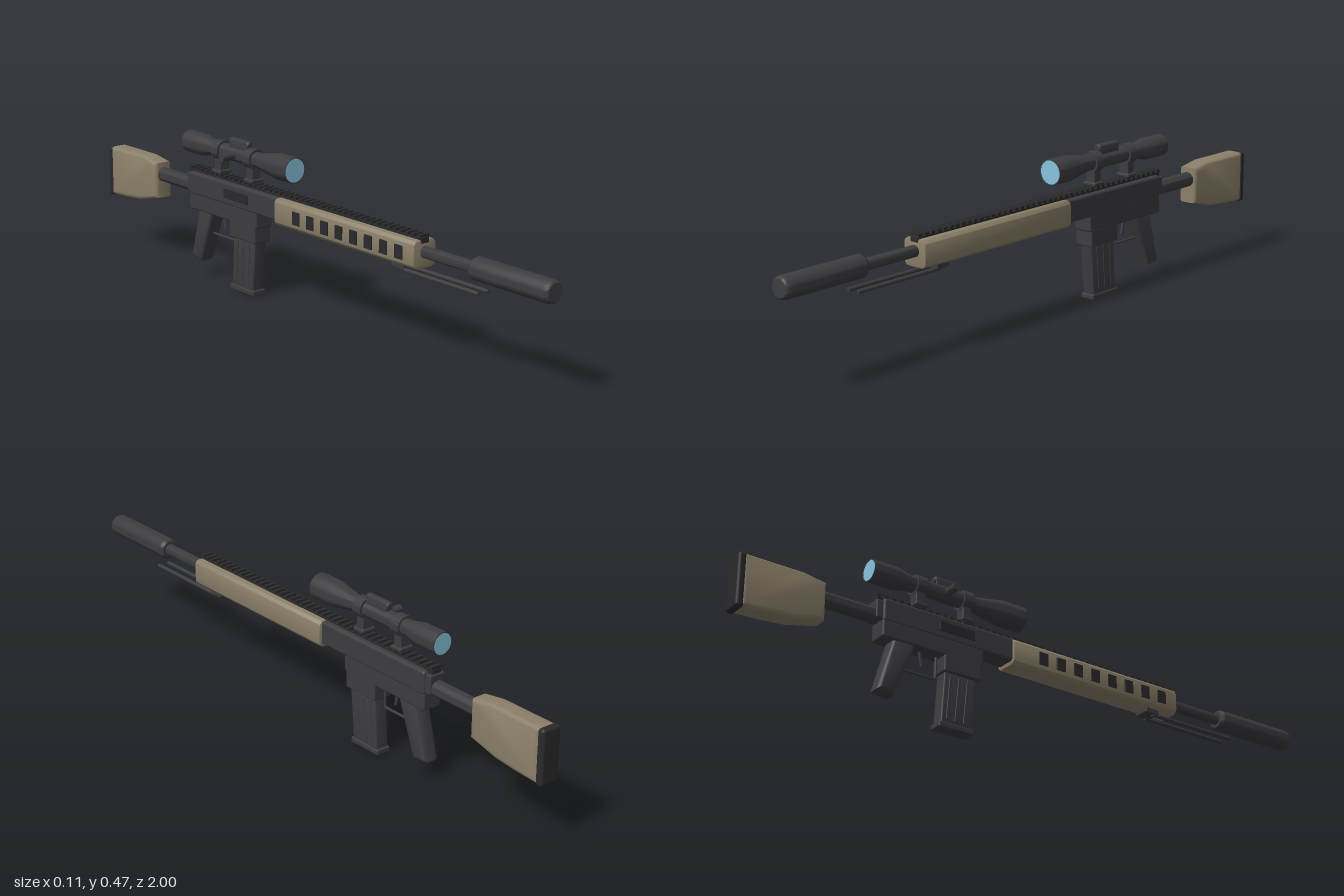
import * as THREE from 'three';
import { toCreasedNormals } from 'three/addons/utils/BufferGeometryUtils.js';
import { RoundedBoxGeometry } from 'three/addons/geometries/RoundedBoxGeometry.js';

const CX = 0.012; // centre line of the rifle
const mat = (color) => new THREE.MeshStandardMaterial({ color });
const DARK = mat(0x3d3d41), BLACK = mat(0x2a2a2c), TAN = mat(0x8b8069), GLASS = mat(0x87c3dd);

export function createModel() {
  const model = new THREE.Group();

  const add = (name, geo, material, x = CX, y = 0, z = 0) => {
    const m = new THREE.Mesh(geo, material);
    m.name = name;
    m.position.set(x, y, z);
    model.add(m);
    return m;
  };
  // Box given by width and its y and z limits
  const block = (name, w, y0, y1, z0, z1, r = 0.004, material = DARK, x = CX) =>
    add(name, new RoundedBoxGeometry(w, y1 - y0, z1 - z0, 2, r), material, x, (y0 + y1) / 2, (z0 + z1) / 2);
  // Turned part along z from [radius, z] pairs, listed back to front
  const turned = (name, y, pts, material = DARK, x = CX) => {
    const g = new THREE.LatheGeometry(pts.map(([r, z]) => new THREE.Vector2(r, z)), 32);
    g.rotateX(Math.PI / 2);
    return add(name, toCreasedNormals(g, 0.6), material, x, y);
  };
  const rod = (name, y, r, z0, z1, material = DARK, x = CX) =>
    turned(name, y, [[0, z0], [r, z0], [r, z1], [0, z1]], material, x);
  // Side profile of [z, y] points, given a bevelled thickness in x
  const plate = (name, pts, w, bevel, material) => {
    const s = new THREE.Shape(pts.map(([z, y]) => new THREE.Vector2(z, y)));
    const g = new THREE.ExtrudeGeometry(s, {
      depth: w - 2 * bevel, bevelThickness: bevel, bevelSize: bevel, bevelOffset: -bevel, bevelSegments: 4,
    });
    g.translate(0, 0, bevel - w / 2).rotateY(-Math.PI / 2);
    return add(name, toCreasedNormals(g, 0.6), material);
  };

  // Muzzle and barrel
  turned('suppressor', 0.302, [[0, 0.705], [0.026, 0.705], [0.033, 0.715], [0.033, 0.985],
    [0.031, 0.995], [0.026, 1], [0, 1]]);
  rod('barrel', 0.302, 0.017, 0.45, 0.72);

  // Handguard: rounded square bar with dark vents on one side
  const w = 0.041, r = 0.018, square = new THREE.Shape();
  square.absarc(w - r, w - r, r, 0, Math.PI / 2);
  square.absarc(r - w, w - r, r, Math.PI / 2, Math.PI);
  square.absarc(r - w, r - w, r, Math.PI, Math.PI * 1.5);
  square.absarc(w - r, r - w, r, Math.PI * 1.5, Math.PI * 2);
  const guard = new THREE.ExtrudeGeometry(square, {
    depth: 0.607, bevelThickness: 0.004, bevelSize: 0.004, bevelOffset: -0.004, bevelSegments: 2, curveSegments: 8,
  });
  add('handguard', toCreasedNormals(guard, 0.6), TAN, CX, 0.296, -0.101);
  for (let i = 0; i < 8; i++)
    block('handguardVent', 0.012, 0.276, 0.316, -0.015 + i * 0.064, 0.017 + i * 0.064, 0.001, BLACK, -0.026);

  // Toothed top rail
  block('topRail', 0.032, 0.325, 0.343, -0.56, 0.51, 0.002, BLACK);
  for (let z = -0.552; z < 0.51; z += 0.0245)
    add('railTooth', new THREE.BoxGeometry(0.034, 0.01, 0.013), BLACK, CX, 0.346, z);

  // Folded bipod
  for (const s of [-1, 1]) rod('bipodLeg', 0.24, 0.006, 0.43, 0.742, DARK, CX + s * 0.018);
  block('bipodMount', 0.052, 0.24, 0.262, 0.4, 0.45);

  // Receiver
  block('upperReceiver', 0.066, 0.266, 0.337, -0.545, -0.1, 0.008);
  block('receiverEnd', 0.052, 0.272, 0.33, -0.565, -0.535);
  block('lowerReceiver', 0.062, 0.218, 0.272, -0.545, -0.205, 0.006);
  block('magazineWell', 0.062, 0.17, 0.225, -0.338, -0.212, 0.005);
  block('ejectionPort', 0.006, 0.288, 0.318, -0.36, -0.24, 0.001, BLACK, -0.021);

  // Magazine, raked slightly backward, with a floor plate
  plate('magazine', [[-0.34, 0.01], [-0.237, 0.01], [-0.222, 0.18], [-0.33, 0.18]], 0.042, 0.004, DARK);
  block('magazineFloor', 0.048, 0, 0.017, -0.347, -0.23, 0.004);
  for (const z of [-0.315, -0.286, -0.257])
    block('magazineRib', 0.046, 0.025, 0.165, z - 0.004, z + 0.004, 0.002).rotation.x = 0.08;

  // Pistol grip, trigger and guard
  plate('grip', [[-0.55, 0.06], [-0.497, 0.054], [-0.43, 0.225], [-0.505, 0.225]], 0.054, 0.014, DARK);
  const guardPath = new THREE.CurvePath();
  const corners = [[-0.348, 0.222], [-0.35, 0.149], [-0.475, 0.149]].map(([z, y]) => new THREE.Vector3(0, y, z));
  for (let i = 0; i < 2; i++) guardPath.add(new THREE.LineCurve3(corners[i], corners[i + 1]));
  add('triggerGuard', new THREE.TubeGeometry(guardPath, 24, 0.004, 8), DARK);
  block('trigger', 0.008, 0.172, 0.225, -0.405, -0.396, 0.002).rotation.x = -0.2;

  // Stock
  rod('bufferTube', 0.288, 0.023, -0.76, -0.55);
  plate('stock', [[-0.985, 0.177], [-0.9, 0.181], [-0.825, 0.188], [-0.728, 0.212], [-0.728, 0.327],
    [-0.8, 0.338], [-0.985, 0.338]], 0.064, 0.014, TAN);
  block('buttPad', 0.064, 0.174, 0.339, -1, -0.976, 0.009, BLACK);

  // Scope
  const sy = 0.424;
  turned('scopeBody', sy, [[0, -0.576], [0.031, -0.576], [0.031, -0.58], [0.034, -0.58], [0.034, -0.497],
    [0.024, -0.45], [0.024, -0.22], [0.039, -0.13], [0.039, -0.056], [0.036, -0.056], [0.036, -0.06], [0, -0.06]]);
  rod('frontLens', sy, 0.0365, -0.064, -0.057, GLASS);
  rod('rearLens', sy, 0.0315, -0.577, -0.579 + 0.005, GLASS).position.z = -0.0025;
  turned('topTurret', 0.461, [[0, -0.365], [0.009, -0.365], [0.0125, -0.36], [0.0125, -0.275], [0.009, -0.27], [0, -0.27]]);
  block('turretBase', 0.026, 0.435, 0.46, -0.36, -0.275, 0.003);
  add('sideKnob', new THREE.CylinderGeometry(0.0125, 0.0125, 0.06, 24).rotateZ(Math.PI / 2), DARK, -0.027, sy, -0.325);

  // Scope mounts
  for (const z of [-0.255, -0.415]) {
    rod('scopeRing', sy, 0.031, z - 0.017, z + 0.017);
    block('mountPost', 0.034, 0.348, 0.405, z - 0.015, z + 0.015, 0.003);
    block('mountClamp', 0.048, 0.352, 0.364, z - 0.021, z + 0.021);
  }
  return model;
}
